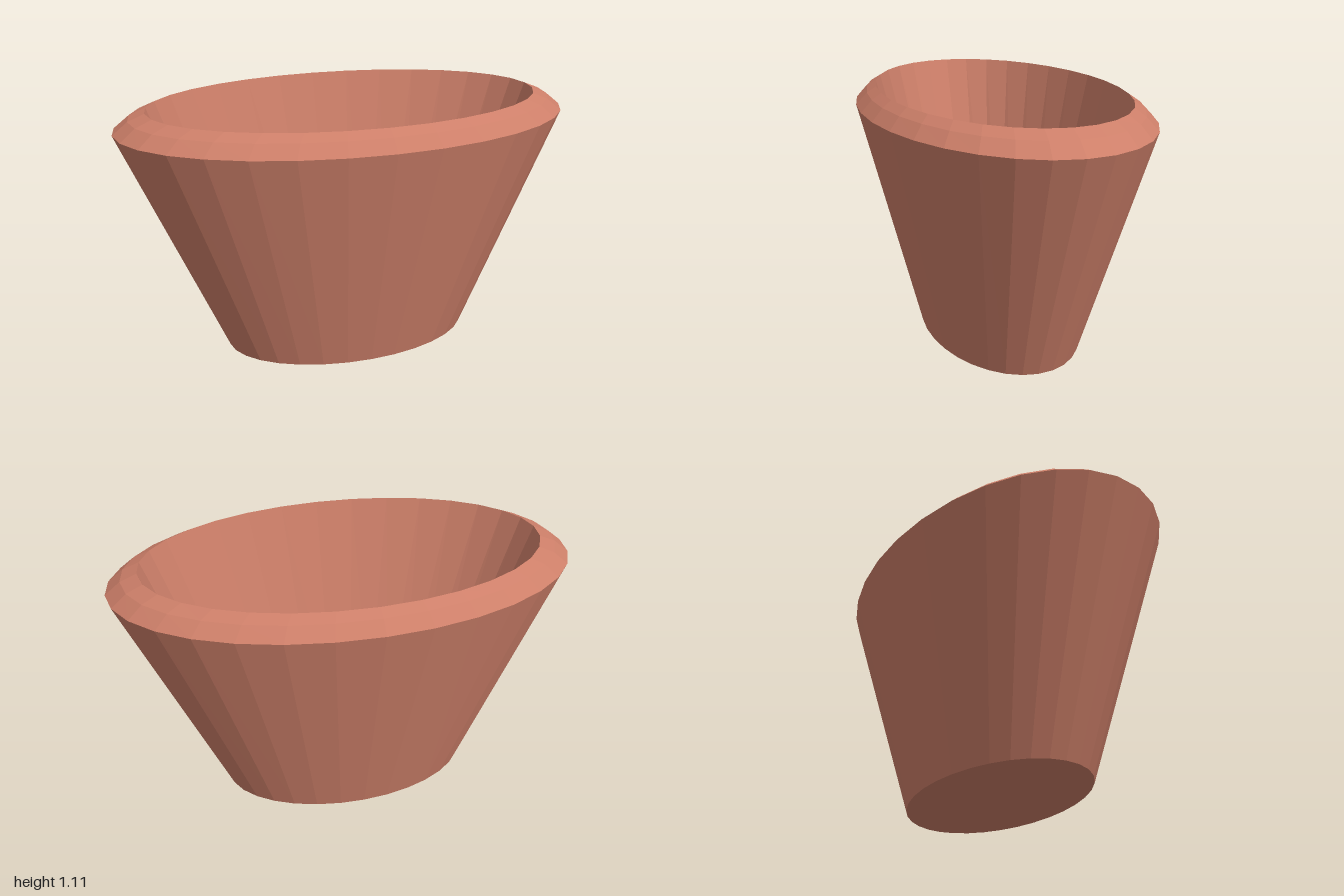
import * as THREE from 'three';

const SIDES = 32;

// Oval surface through rings given as [half width, half depth, height]
function ovalLoft(rings) {
  const profile = rings.map(([rx, , y]) => new THREE.Vector2(rx, y));
  const geometry = new THREE.LatheGeometry(profile, SIDES);
  const position = geometry.attributes.position;
  for (let i = 0; i < position.count; i++) {
    const [rx, rz] = rings[i % rings.length];
    if (rx > 0) position.setZ(i, position.getZ(i) * rz / rx);
  }
  geometry.computeVertexNormals();
  return geometry;
}

export function createModel() {
  const group = new THREE.Group();
  group.name = 'ovalPlanter';
  const clay = new THREE.MeshStandardMaterial({ color: 0xcd7f69, flatShading: true });

  const base = [0.565, 0.34, 0];
  const shoulder = [1, 0.6, 1.03];
  const bevel = [0.935, 0.552, 1.082];
  const lip = [0.865, 0.512, 1.11];
  const floor = [0.5, 0.262, 0.1];

  // Each part runs upward outside, over the rim, then down inside
  const parts = {
    underside: [[0, 0, 0], base],
    outerWall: [base, shoulder],
    rim: [shoulder, bevel, lip],
    innerWall: [lip, floor],
    innerFloor: [floor, [0, 0, 0.1]],
  };
  for (const [name, rings] of Object.entries(parts)) {
    const mesh = new THREE.Mesh(ovalLoft(rings), clay);
    mesh.name = name;
    group.add(mesh);
  }
  return group;
}
